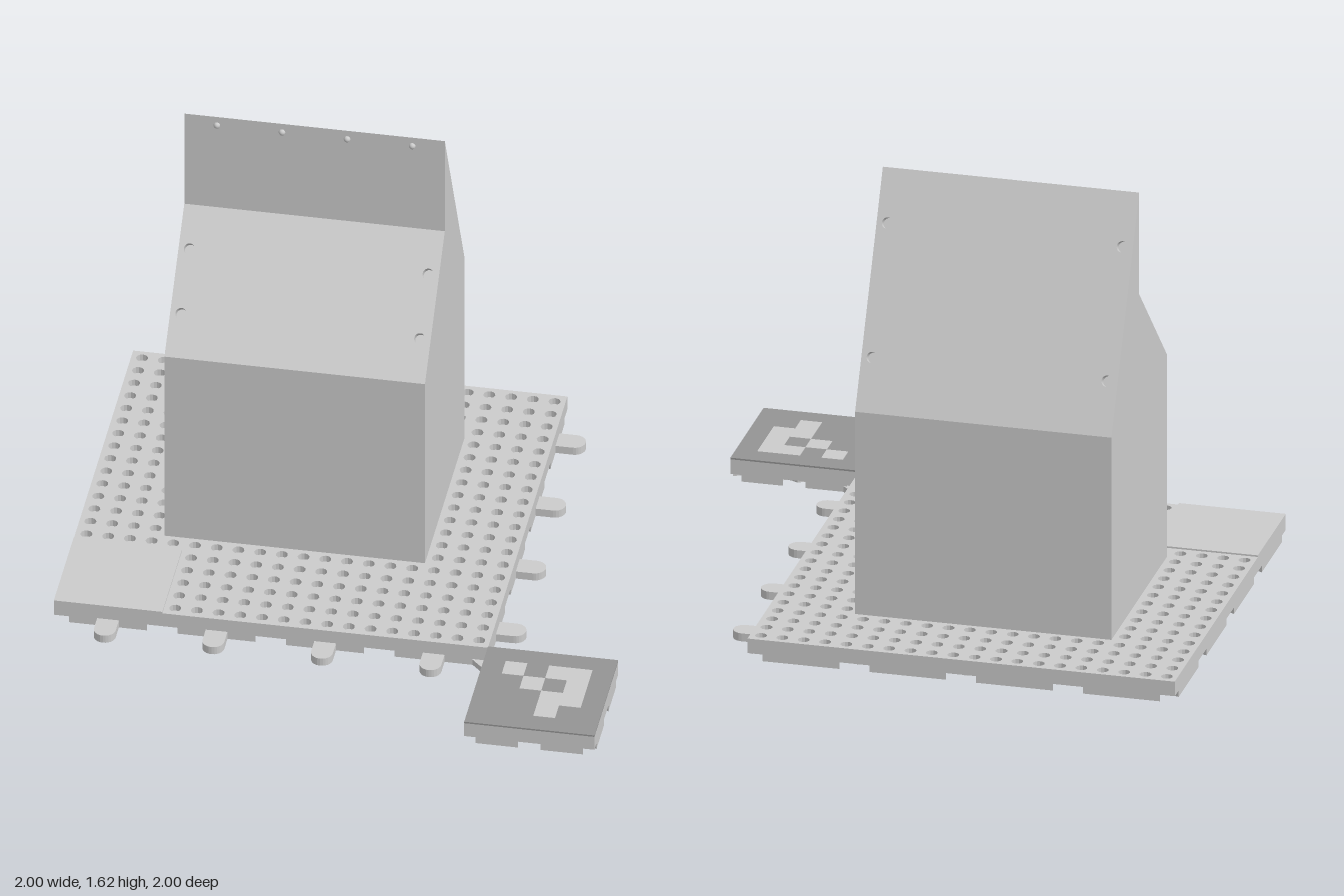
import * as THREE from 'three';

const U = 2 / 26;                       // grid unit: plate is 20 units, tile is 6
const grey = new THREE.MeshStandardMaterial({ color: 0xcccccc, flatShading: true, side: THREE.DoubleSide });
const smooth = new THREE.MeshStandardMaterial({ color: 0xcccccc, side: THREE.DoubleSide });
const dark = new THREE.MeshStandardMaterial({ color: 0x949494 });

function add(parent, name, geo, mat = grey) {
  const m = new THREE.Mesh(geo, mat);
  m.name = name;
  parent.add(m);
  return m;
}

// Box given by its limits
function block(parent, name, x0, x1, y0, y1, z0, z1, mat) {
  const m = add(parent, name, new THREE.BoxGeometry(x1 - x0, y1 - y0, z1 - z0), mat);
  m.position.set((x0 + x1) / 2, (y0 + y1) / 2, (z0 + z1) / 2);
  return m;
}

// Shape drawn in x and -z, raised from y0 to y1
function slab(shape, y0, y1) {
  return new THREE.ExtrudeGeometry(shape, { depth: y1 - y0, bevelEnabled: false, curveSegments: 6 })
    .rotateX(-Math.PI / 2).translate(0, y0, 0);
}

function circlePath(x, y, r) {
  const p = new THREE.Path();
  p.absarc(x, y, r, 0, Math.PI * 2, true);
  return p;
}

// Part of a four-lobed outline, local axis d and its left-hand normal
function clover(cx, cy, d, s, from, to, steps) {
  const pts = [];
  for (let i = 0; i <= steps; i++) {
    const t = from + (to - from) * i / steps;
    const r = s * (0.075 - 0.021 * Math.cos(4 * t));
    const u = r * Math.cos(t), v = r * Math.sin(t);
    pts.push(new THREE.Vector2(cx + d.x * u - d.y * v, cy + d.y * u + d.x * v));
  }
  return pts;
}

// Square bottom layer with lobed sockets inside, along the edges and at the corners
function socketLayer(x0, z0, size, n, s) {
  const step = size / n, y0 = -(z0 + size), pts = [];
  const corners = [[x0, y0], [x0 + size, y0], [x0 + size, y0 + size], [x0, y0 + size]];
  corners.forEach(([cx, cy], side) => {
    const d = new THREE.Vector2(Math.round(Math.cos(side * Math.PI / 2)), Math.round(Math.sin(side * Math.PI / 2)));
    for (let k = 0; k < n; k++) {
      const start = k === 0 ? Math.PI / 2 : Math.PI;
      pts.push(...clover(cx + d.x * k * step, cy + d.y * k * step, d, s, start, 0, k === 0 ? 8 : 16));
    }
  });
  const shape = new THREE.Shape(pts);
  for (let i = 1; i < n; i++) for (let j = 1; j < n; j++) {
    const ring = clover(x0 + i * step, y0 + j * step, new THREE.Vector2(1, 0), s, Math.PI * 2, 0, 32);
    ring.pop();
    shape.holes.push(new THREE.Path(ring));
  }
  return slab(shape, 0, 0.025);
}

// Perforated base plate with edge tabs
function buildPlate() {
  const g = new THREE.Group();
  g.name = 'basePlate';
  const e = -1 + 20 * U;
  add(g, 'plateUnderside', socketLayer(-1, -1, 20 * U, 4, 1));
  block(g, 'plateCore', -1, e, 0.025, 0.055, -1, e);
  const top = new THREE.Shape([[-1, -e], [e, -e], [e, 1], [-1, 1]].map(p => new THREE.Vector2(...p)));
  for (let i = 0; i < 20; i++) for (let j = 0; j < 20; j++) {
    const underHouse = i >= 4 && i < 16 && j >= 4 && j < 14;
    const underPad = i < 5 && j >= 15;
    if (!underHouse && !underPad) top.holes.push(circlePath(-1 + (i + 0.5) * U, 1 - (j + 0.5) * U, 0.021));
  }
  add(g, 'perforatedTop', slab(top, 0.055, 0.08));
  block(g, 'cornerPad', -1, -1 + 5 * U, 0.08, 0.086, -1 + 15 * U, e);

  // Rounded tabs on the left and front edges
  const tab = new THREE.Shape();
  const w = U / 2;
  tab.moveTo(-0.01, -w);
  tab.lineTo(0.062, -w);
  tab.absarc(0.062, 0, w, -Math.PI / 2, Math.PI / 2, false);
  tab.lineTo(-0.01, w);
  tab.closePath();
  const tabGeo = slab(tab, 0, 0.03);
  for (let k = 0; k < 4; k++) {
    const c = -1 + (2.5 + 5 * k) * U;
    add(g, 'leftTab', tabGeo).position.set(e, 0, c);
    const f = add(g, 'frontTab', tabGeo);
    f.position.set(c, 0, e);
    f.rotation.y = -Math.PI / 2;
  }
  return g;
}

// Small corner tile with a pattern of pale squares
function buildTile() {
  const g = new THREE.Group();
  g.name = 'cornerTile';
  const e = -1 + 20 * U;
  add(g, 'tileUnderside', socketLayer(e, e, 6 * U, 2, 0.75));
  block(g, 'tileBody', e, 1, 0.025, 0.08, e, 1);
  block(g, 'darkFace', e, 1, 0.08, 0.086, e, 1, dark);
  for (const [c, r] of [[1, 1], [3, 1], [4, 1], [2, 2], [4, 2], [3, 3], [4, 3], [3, 4]]) {
    block(g, 'paleSquare', e + c * U, e + (c + 1) * U, 0.082, 0.0875, e + r * U, e + (r + 1) * U);
  }
  // Diagonal link joining the tile to the plate
  const link = add(g, 'cornerLink', new THREE.BoxGeometry(0.077, 0.022, 0.077));
  link.position.set(e, 0.011, e);
  link.rotation.y = Math.PI / 4;
  return g;
}

// House with a stepped roof, panels wrapped along a side profile
function buildHouse() {
  const g = new THREE.Group();
  g.name = 'house';
  const width = 12 * U, cx = -1 + 10 * U;
  const profile = [[0.077, 0.08], [0.077, 0.845], [-0.308, 1.23], [-0.308, 1.615], [-0.693, 0.845], [-0.693, 0.08]];
  const names = ['frontWall', 'frontRoof', 'upperWall', 'backRoof', 'backWall'];
  const holeRow = { frontRoof: 0.115, backRoof: 0.236 };
  names.forEach((name, i) => {
    const [z0, y0] = profile[i], [z1, y1] = profile[i + 1];
    const h = Math.hypot(z1 - z0, y1 - y0) / 2, w = width / 2;
    const panel = new THREE.Group();
    panel.name = name;
    panel.position.set(cx, (y0 + y1) / 2, (z0 + z1) / 2);
    panel.rotation.x = Math.atan2(z1 - z0, y1 - y0);
    const shape = new THREE.Shape([[-w, -h], [w, -h], [w, h], [-w, h]].map(p => new THREE.Vector2(...p)));
    // Blind screw holes near the panel sides
    if (holeRow[name]) for (const x of [-0.423, 0.423]) for (const y of [-holeRow[name], holeRow[name]]) {
      shape.holes.push(circlePath(x, y, 0.02));
      add(panel, 'holeWall', new THREE.CylinderGeometry(0.02, 0.02, 0.03, 24, 1, true).rotateX(Math.PI / 2), smooth)
        .position.set(x, y, -0.015);
      add(panel, 'holeFloor', new THREE.CircleGeometry(0.02, 24)).position.set(x, y, -0.03);
    }
    add(panel, name + 'Surface', new THREE.ShapeGeometry(shape, 12));
    g.add(panel);
  });
  // Gable walls
  const gable = new THREE.ShapeGeometry(new THREE.Shape(profile.map(([z, y]) => new THREE.Vector2(-z, y))));
  for (const side of [-1, 1]) {
    const m = add(g, side > 0 ? 'leftGable' : 'rightGable', gable);
    m.rotation.y = Math.PI / 2;
    m.position.x = cx + side * width / 2;
  }
  // Small studs under the ridge
  for (let k = 0; k < 4; k++) {
    add(g, 'ridgeStud', new THREE.SphereGeometry(0.012, 16, 10), smooth)
      .position.set(cx + (k - 1.5) * 3 * U, 1.58, -0.308);
  }
  return g;
}

export function createModel() {
  const model = new THREE.Group();
  model.name = 'houseOnPlate';
  model.add(buildPlate(), buildTile(), buildHouse());
  return model;
}
